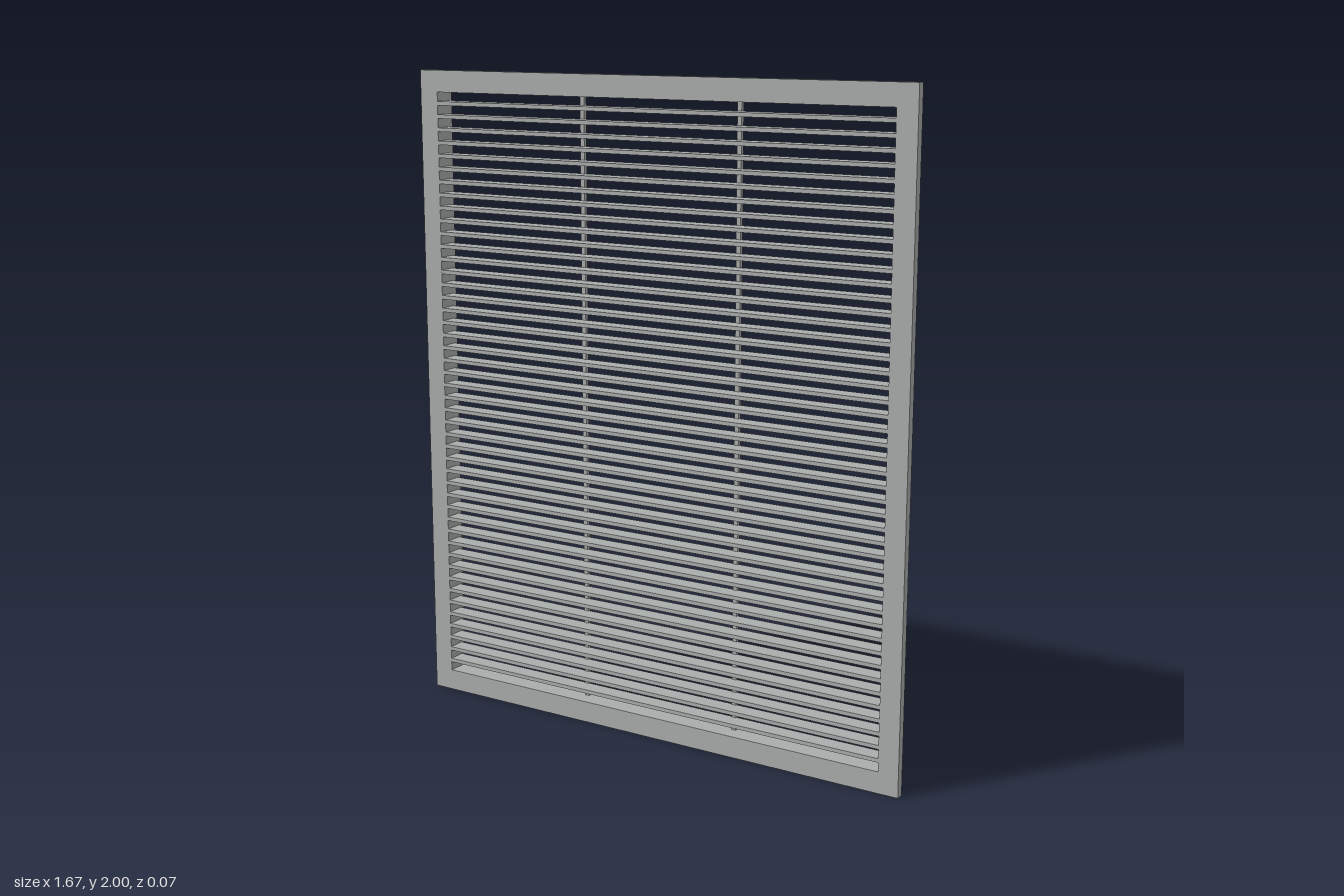
import * as THREE from 'three';

const HALF_W = 0.77, HALF_H = 0.934; // opening half size
const FRONT = 0.035, STEP = 0.01, BACK = -0.035;

// Rectangular ring around the opening, extruded from z0 to z1
function ring(outerW, outerH, z0, z1) {
  const rect = (P, w, h) => {
    const p = new P();
    p.moveTo(-w, -h);
    p.lineTo(w, -h);
    p.lineTo(w, h);
    p.lineTo(-w, h);
    p.closePath();
    return p;
  };
  const shape = rect(THREE.Shape, outerW, outerH);
  shape.holes.push(rect(THREE.Path, HALF_W, HALF_H));
  const geo = new THREE.ExtrudeGeometry(shape, { depth: z1 - z0, bevelEnabled: false });
  return geo.translate(0, 1, z0);
}

export function createModel() {
  const model = new THREE.Group();
  model.name = 'louvreGrille';
  const metal = new THREE.MeshStandardMaterial({ color: 0xa9adac });
  metal.name = 'greyMetal';

  const add = (name, geo, parent = model) => {
    const mesh = new THREE.Mesh(geo, metal);
    mesh.name = name;
    parent.add(mesh);
    return mesh;
  };

  // Flat face flange and the thin collar behind it
  add('flange', ring(0.834, 1, STEP, FRONT));
  add('collar', ring(0.777, 0.942, BACK, STEP));

  // Horizontal slats, flush with the front and recessed at the back
  const slats = new THREE.Group();
  slats.name = 'slats';
  model.add(slats);
  const slatGeo = new THREE.BoxGeometry(HALF_W * 2, 0.012, 0.055);
  const count = 46, pitch = 0.04;
  for (let i = 0; i < count; i++) {
    const y = 1 + (i - (count - 1) / 2) * pitch;
    add('slat', slatGeo, slats).position.set(0, y, FRONT - 0.0275);
  }

  // Two upright bars tying the slats together at the back
  for (const side of [-1, 1]) {
    const bar = new THREE.BoxGeometry(0.014, HALF_H * 2, 0.012);
    add(side > 0 ? 'leftBar' : 'rightBar', bar).position.set(side * 0.267, 1, -0.021);
  }
  return model;
}
